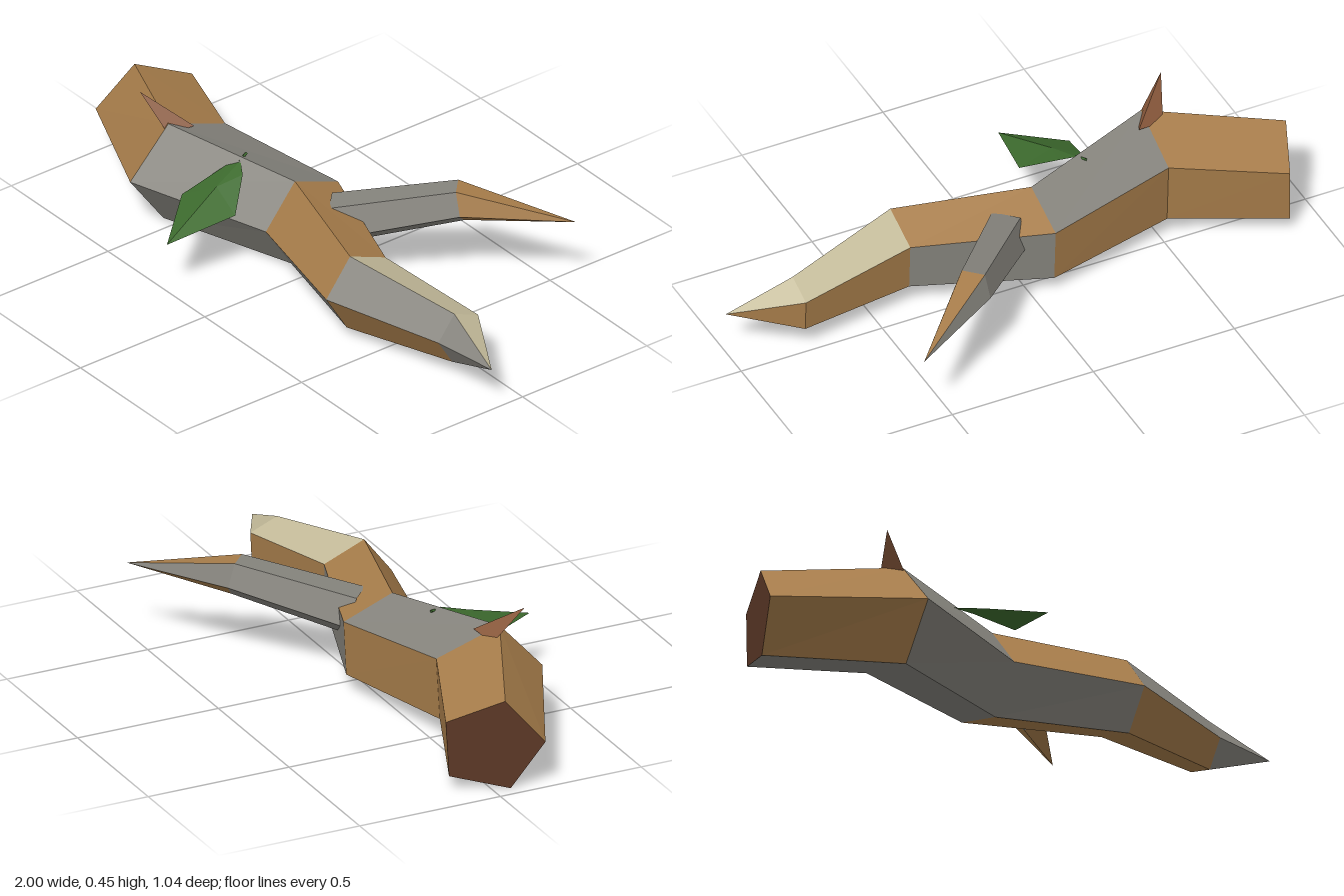
import * as THREE from 'three';

const mat = (name, color, extra = {}) =>
  Object.assign(new THREE.MeshStandardMaterial({ color, flatShading: true, ...extra }), { name });

// Flat-shaded surface through rings of points; rows give one colour letter per face of each segment
function loft(name, rings, rows, palette) {
  const keys = Object.keys(palette);
  const tris = keys.map(() => []);
  const n = rings[0].length;
  rows.forEach((row, s) => {
    const a = rings[s], b = rings[s + 1];
    for (let i = 0; i < n; i++) {
      const j = (i + 1) % n;
      const list = tris[keys.indexOf(row[i])];
      list.push(a[i], b[i], b[j]);
      list.push(a[i], b[j], a[j]);
    }
  });
  const geo = new THREE.BufferGeometry().setFromPoints(tris.flat());
  let start = 0;
  tris.forEach((list, m) => {
    if (list.length) geo.addGroup(start, list.length, m);
    start += list.length;
  });
  geo.computeVertexNormals();
  const mesh = new THREE.Mesh(geo, keys.map((k) => palette[k]));
  mesh.name = name;
  return mesh;
}

// Flat-shaded mesh from a few corners and triangles
function facets(name, corners, faces, material) {
  const pts = faces.flat().map((i) => new THREE.Vector3(...corners[i]));
  const geo = new THREE.BufferGeometry().setFromPoints(pts);
  geo.computeVertexNormals();
  const mesh = new THREE.Mesh(geo, material);
  mesh.name = name;
  return mesh;
}

export function createModel() {
  const group = new THREE.Group();
  group.name = 'fallenBranch';

  const gray = mat('grayBark', 0x85837c);
  const tan = mat('tanBark', 0xa67c4a);
  const cream = mat('creamBark', 0xc4bb9a);
  const cutWood = mat('cutWood', 0x5c3826);
  const thornBrown = mat('thornBrown', 0x8b5a3c, { side: THREE.DoubleSide });
  const green = mat('leafGreen', 0x3d6b2e, { side: THREE.DoubleSide });
  const palette = { G: gray, B: tan, C: cream };

  // Main log: five-sided rings given as x, y, z, height radius, depth radius, x slant
  const logRings = [
    [-0.935, 0.156, 0, 0.16, 0.16, -0.41],
    [-0.53, 0.19, 0.18, 0.181, 0.2, -0.05],
    [-0.07, 0.167, 0.042, 0.158, 0.158, 0],
    [0.37, 0.168, 0.17, 0.137, 0.13, 0],
    [0.77, 0.151, 0.073, 0.092, 0.087, 0],
    [0.995, 0.15, 0.12, 0, 0, 0],
  ].map(([x, y, z, ry, rz, slant]) =>
    [0, 1, 2, 3, 4].map((k) => {
      const t = THREE.MathUtils.degToRad(3 + 72 * k);
      const dz = Math.cos(t) * rz;
      return new THREE.Vector3(x + slant * dz, y + Math.sin(t) * ry, z + dz);
    }));
  group.add(loft('log', logRings, ['BBBGB', 'GGBGG', 'BBGBG', 'GCBBB', 'GCBGG'], palette));

  // Cut end of the log
  const end = logRings[0].map((p) => p.toArray());
  group.add(facets('cutEnd', end, [[0, 1, 2], [0, 2, 3], [0, 3, 4]], cutWood));

  // Side branch: rings set across its horizontal direction
  const across = new THREE.Vector3(0.72, 0, 0.69);
  const sideRings = [
    [0.055, 0.215, 0.02, 0.085],
    [0.32, 0.298, -0.28, 0.069],
    [0.61, 0.27, -0.52, 0],
  ].map(([x, y, z, r]) =>
    [0, 1, 2, 3, 4].map((k) => {
      const t = THREE.MathUtils.degToRad(-18 + 72 * k);
      const p = new THREE.Vector3(x, y, z).addScaledVector(across, Math.cos(t) * r * 0.95);
      const dy = Math.sin(t) * r;
      return p.add(new THREE.Vector3(-0.14 * dy, dy, 0.14 * dy));
    }));
  group.add(loft('sideBranch', sideRings, ['GGGGG', 'BBGBB'], palette));

  // Thorn on top of the log
  group.add(facets('thorn',
    [[-0.625, 0.456, 0.275], [-0.49, 0.35, 0.16], [-0.525, 0.335, 0.24], [-0.585, 0.335, 0.18]],
    [[0, 1, 2], [0, 2, 3], [0, 3, 1], [1, 3, 2]], thornBrown));

  // Leaf folded along its middle rib
  group.add(facets('leaf',
    [[-0.265, 0.327, 0.15], [-0.17, 0.2, 0.52], [-0.295, 0.31, 0.18], [-0.33, 0.24, 0.335],
      [-0.215, 0.31, 0.18], [-0.125, 0.24, 0.28], [-0.235, 0.29, 0.27]],
    [[0, 2, 6], [2, 3, 6], [3, 1, 6], [0, 6, 4], [4, 6, 5], [5, 6, 1]], green));

  // Thin leaf stem
  const stem = new THREE.Mesh(new THREE.TubeGeometry(new THREE.LineCurve3(
    new THREE.Vector3(-0.28, 0.335, 0.115), new THREE.Vector3(-0.265, 0.325, 0.155)), 1, 0.005, 4), green);
  stem.name = 'leafStem';
  group.add(stem);

  return group;
}
